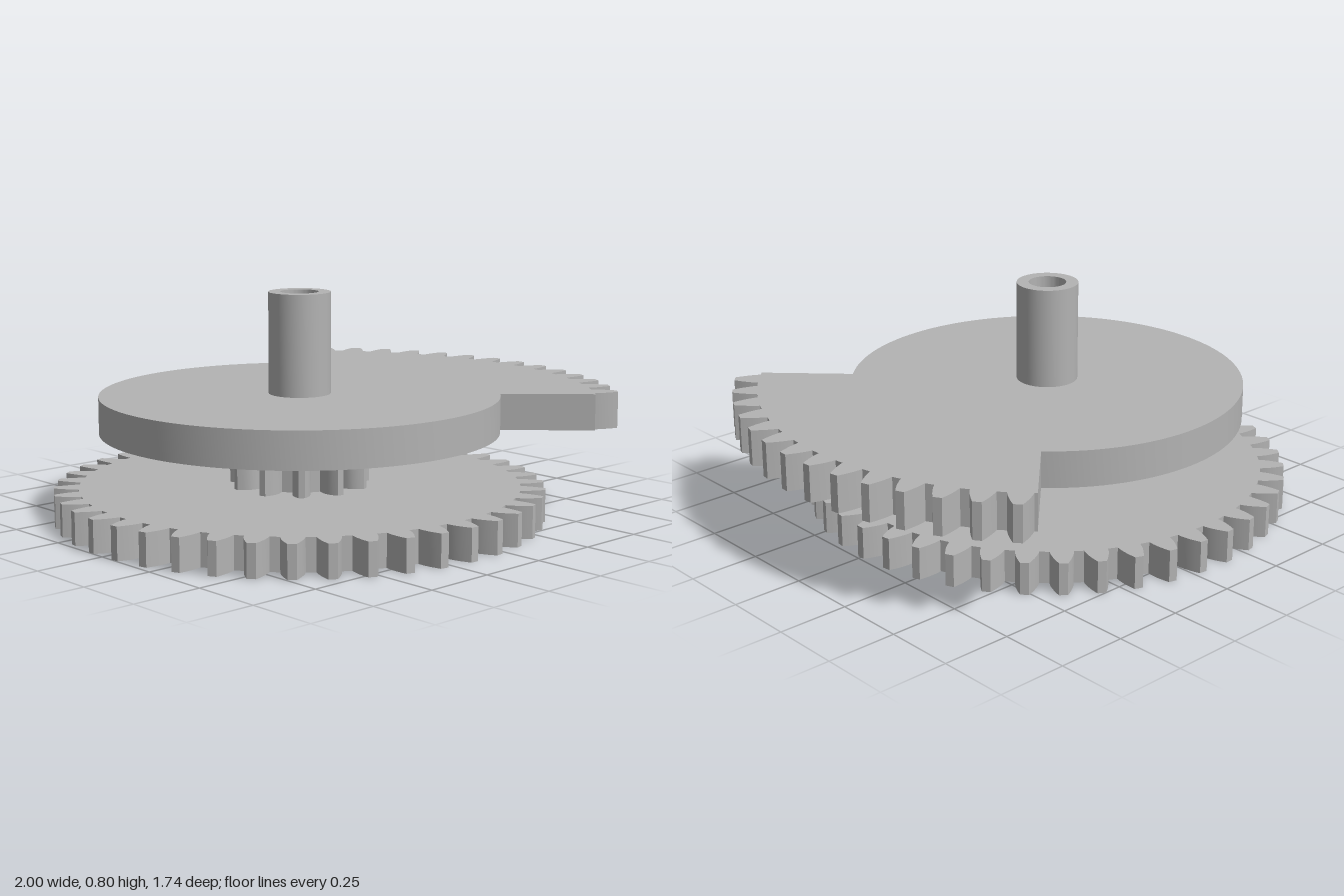
import * as THREE from 'three';
import { toCreasedNormals } from 'three/addons/utils/BufferGeometryUtils.js';

const BORE = 0.067;
const polar = (r, a) => new THREE.Vector2(r * Math.cos(a), r * Math.sin(a));
const inv = (a) => Math.tan(a) - a;

// Outline points of one involute tooth centred on the given angle
function tooth(teeth, root, tip, angle) {
  const module = (tip * 2) / (teeth + 2);
  const pitch = (module * teeth) / 2;
  const pressure = THREE.MathUtils.degToRad(20);
  const base = pitch * Math.cos(pressure);
  const flank = [];
  for (let i = 0; i <= 5; i++) {
    const r = root + ((tip - root) * i) / 5;
    const half = Math.PI / (2 * teeth) + inv(pressure) - inv(Math.acos(Math.min(1, base / r)));
    flank.push([r, half]);
  }
  return [
    ...flank.map(([r, h]) => polar(r, angle - h)),
    ...flank.reverse().map(([r, h]) => polar(r, angle + h)),
  ];
}

function gearOutline(teeth, root, tip) {
  const points = [];
  for (let i = 0; i < teeth; i++) {
    points.push(...tooth(teeth, root, tip, (i / teeth) * Math.PI * 2));
  }
  return points;
}

// Round disc that steps out to a toothed quarter on the +x side
function sectorOutline(discRadius, root, tip, teeth, count) {
  const points = [];
  const edge = Math.PI / 4;
  const step = (Math.PI * 2) / teeth;
  points.push(polar(root, -edge));
  for (let i = 0; i < count; i++) {
    points.push(...tooth(teeth, root, tip, (i - (count - 1) / 2) * step + 0.005));
  }
  points.push(polar(root, edge));
  for (let i = 0; i <= 96; i++) {
    points.push(polar(discRadius, edge + (i / 96) * Math.PI * 1.5));
  }
  return points;
}

function circleOutline(radius) {
  return Array.from({ length: 64 }, (_, i) => polar(radius, (i / 64) * Math.PI * 2));
}

export function createModel() {
  const model = new THREE.Group();
  model.name = 'sectorGear';
  const grey = new THREE.MeshStandardMaterial({ color: 0xb3b3b3 });
  grey.name = 'grey';

  // Upright slab with the shared bore through its middle
  function addLayer(name, outline, bottom, top) {
    const shape = new THREE.Shape(outline);
    shape.holes.push(new THREE.Path(circleOutline(BORE).reverse()));
    const slab = new THREE.ExtrudeGeometry(shape, { depth: top - bottom, bevelEnabled: false });
    slab.rotateX(-Math.PI / 2);
    const mesh = new THREE.Mesh(toCreasedNormals(slab, 0.3), grey);
    mesh.name = name;
    mesh.position.set(-0.13, bottom, 0);
    model.add(mesh);
  }

  addLayer('lowerGear', gearOutline(43, 0.783, 0.87), 0, 0.115);
  addLayer('pinion', gearOutline(11, 0.165, 0.25), 0.115, 0.31);
  addLayer('sectorPlate', sectorOutline(0.708, 1.043, 1.13, 56, 14), 0.31, 0.44);
  addLayer('hollowShaft', circleOutline(0.11), 0.44, 0.8);

  return model;
}
